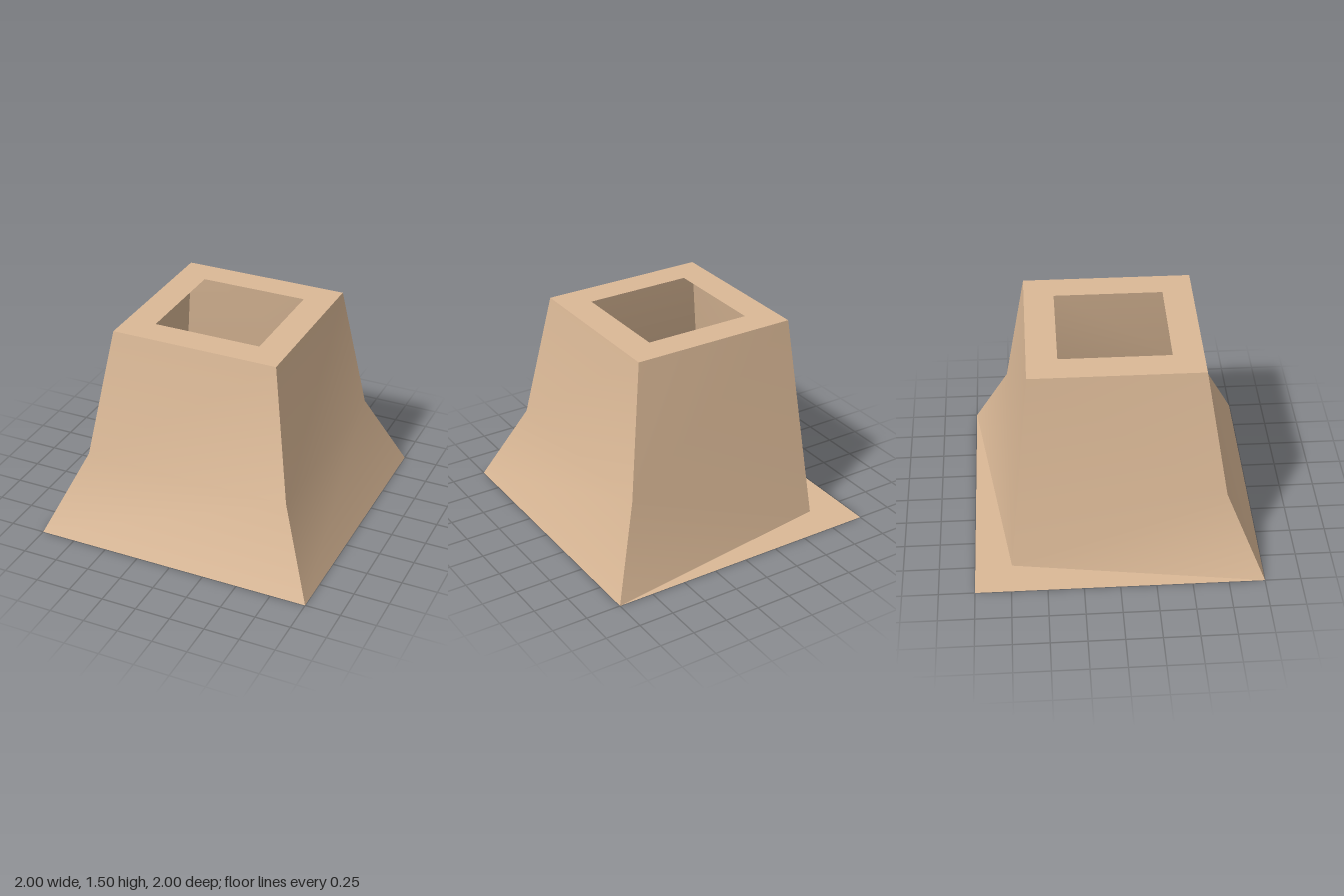
import * as THREE from 'three';
import { mergeVertices } from 'three/addons/utils/BufferGeometryUtils.js';

const HEIGHT = 1.497, TOP = 0.592, MID = 0.744, MID_Y = 0.575, HOLE = 0.382;

// corner signs [x, z]: front -x, front +x, back +x, back -x
const SIGNS = [[-1, 1], [1, 1], [1, -1], [-1, -1]];
const corner = (i, r, y) => [SIGNS[i % 4][0] * r, y, SIGNS[i % 4][1] * r];

// foot, waist and rim points of a corner; the last corner's waist is pulled down to the floor
function column(i) {
  const sunk = i % 4 === 3;
  return [
    sunk ? corner(i, MID, 0) : corner(i, 1, 0),
    corner(i, MID, sunk ? 0 : MID_Y),
    corner(i, TOP, HEIGHT),
  ];
}

// one smooth wall between two neighbouring corners
function wallGeometry(i) {
  const [a0, a1, a2] = column(i), [b0, b1, b2] = column(i + 1);
  const lower = [a0, b0, b1, a0, b1, a1];
  const upper = i === 3 ? [a1, b1, a2, b1, b2, a2] : [a1, b1, b2, a1, b2, a2];
  const geometry = new THREE.BufferGeometry();
  geometry.setAttribute('position', new THREE.Float32BufferAttribute([...lower, ...upper].flat(), 3));
  const smooth = mergeVertices(geometry);
  smooth.computeVertexNormals();
  return smooth;
}

const square = (r, Type) => new Type(SIGNS.map(([x, z]) => new THREE.Vector2(x * r, z * r)));

export function createModel() {
  const group = new THREE.Group();
  group.name = 'hollowPedestal';
  const clay = new THREE.MeshStandardMaterial({ name: 'tan clay', color: 0xdab896, side: THREE.DoubleSide });

  const add = (name, geometry) => {
    const mesh = new THREE.Mesh(geometry, clay);
    mesh.name = name;
    group.add(mesh);
    return mesh;
  };

  // flared thin walls
  ['frontWall', 'leftWall', 'backWall', 'rightWall'].forEach((name, i) => add(name, wallGeometry(i)));

  // flat rim with a square opening
  const rim = square(TOP, THREE.Shape);
  rim.holes.push(square(HOLE, THREE.Path));
  const rimMesh = add('topRim', new THREE.ShapeGeometry(rim));
  rimMesh.rotation.x = -Math.PI / 2;
  rimMesh.position.y = HEIGHT;

  // full square floor plate, facing down
  add('floorPlate', new THREE.PlaneGeometry(2, 2)).rotation.x = Math.PI / 2;

  return group;
}
